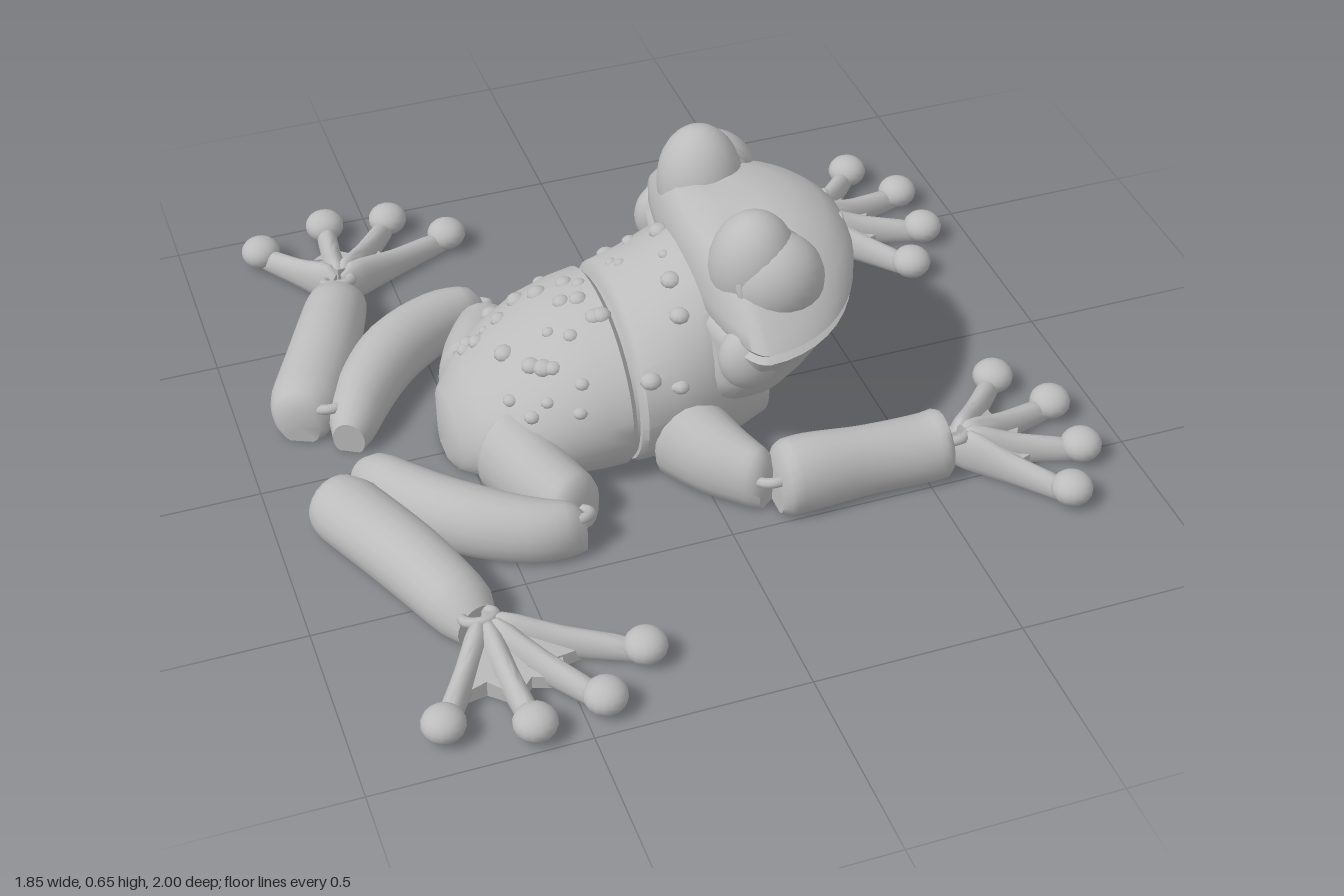
import * as THREE from 'three';
import { toCreasedNormals } from 'three/addons/utils/BufferGeometryUtils.js';

const skin = new THREE.MeshStandardMaterial({ color: 0xbcbcbc });
skin.name = 'stone grey skin';

const V = (x, y, z) => new THREE.Vector3(x, y, z);

function add(parent, name, geometry) {
  const mesh = new THREE.Mesh(geometry, skin);
  mesh.name = name;
  parent.add(mesh);
  return mesh;
}

// Closed skin over a list of equal-length rings, capped at both ends.
function loft(rings, crease = 0.8) {
  const n = rings[0].length, pts = rings.flat(), idx = [];
  for (let r = 0; r < rings.length - 1; r++) {
    for (let i = 0; i < n; i++) {
      const a = r * n + i, b = r * n + (i + 1) % n;
      idx.push(a, b, a + n, b, b + n, a + n);
    }
  }
  [[0, true], [rings.length - 1, false]].forEach(([r, first]) => {
    const mid = rings[r].reduce((s, p) => s.add(p), V(0, 0, 0)).divideScalar(n);
    const c = pts.push(mid) - 1;
    for (let i = 0; i < n; i++) {
      const a = r * n + i, b = r * n + (i + 1) % n;
      first ? idx.push(c, b, a) : idx.push(c, a, b);
    }
  });
  // Turn the faces outward if the enclosed volume comes out negative.
  let volume = 0;
  for (let i = 0; i < idx.length; i += 3) {
    volume += pts[idx[i]].dot(pts[idx[i + 1]].clone().cross(pts[idx[i + 2]]));
  }
  if (volume < 0) idx.reverse();
  const g = new THREE.BufferGeometry().setFromPoints(pts);
  g.setIndex(idx);
  return toCreasedNormals(g, crease);
}

// Arch-shaped ring standing on the ground: centre, sideways direction, half width, height.
function archRing(x, z, sx, sz, hw, h, n = 24) {
  return Array.from({ length: n }, (_, i) => {
    const t = (i / n) * Math.PI * 2, w = hw * Math.cos(t);
    return V(x + sx * w, Math.max(0, h * (0.42 + 0.58 * Math.sin(t))), z + sz * w);
  });
}

// Limb along a smooth path of [x, z, half width, height], with rounded ends.
function limb(points, steps = 18) {
  const path = new THREE.CatmullRomCurve3(points.map(p => V(p[0], 0, p[1])));
  const size = new THREE.CatmullRomCurve3(points.map(p => V(p[2], p[3], 0)));
  const rings = [];
  for (let i = 0; i <= steps; i++) {
    const t = i / steps, p = path.getPoint(t), d = path.getTangent(t), s = size.getPoint(t);
    const k = i === 0 || i === steps ? 0.72 : i === 1 || i === steps - 1 ? 0.95 : 1;
    rings.push(archRing(p.x, p.z, -d.z, d.x, s.x * k, s.y * k, 20));
  }
  return loft(rings);
}

function ball(parent, name, x, y, z, rx, ry, rz, detail = 24) {
  const m = add(parent, name, new THREE.SphereGeometry(1, detail, Math.ceil(detail * 0.66)));
  m.position.set(x, y, z);
  m.scale.set(rx, ry, rz);
  return m;
}

function link(parent, x, z, turn) {
  const m = add(parent, 'jointLink', new THREE.TorusGeometry(0.036, 0.013, 8, 20));
  m.position.set(x, 0.08, z);
  m.rotation.set(Math.PI / 2 - 0.4, 0, turn);
}

// Webbed foot: a sloping web plus ribbed toes with round pads.
function foot(parent, name, wx, wz, toes) {
  const g = new THREE.Group();
  g.name = name;
  parent.add(g);
  const at = (p, k) => [wx + (p[0] - wx) * k, wz + (p[1] - wz) * k];
  const outline = [[wx, wz]];
  toes.forEach((t, i) => {
    outline.push(at(t, 0.68));
    if (i < 3) outline.push(at([(t[0] + toes[i + 1][0]) / 2, (t[1] + toes[i + 1][1]) / 2], 0.56));
  });
  const rings = [0, 1].map(top => outline.map(([x, z]) => {
    const d = Math.hypot(x - wx, z - wz);
    return V(x, top ? Math.max(0.03, 0.105 - d * 0.42) : 0, z);
  }));
  add(g, 'web', loft(rings, 0.5));
  toes.forEach(t => {
    const [ax, az] = at(t, 0.02), [bx, bz] = at(t, 0.5);
    add(g, 'toe', limb([[ax, az, 0.032, 0.12], [bx, bz, 0.026, 0.075], [t[0], t[1], 0.026, 0.05]], 10));
    ball(g, 'toePad', t[0], 0.04, t[1], 0.05, 0.04, 0.05, 16);
  });
}

// Torso profile: [x, top, half width], split at the waist joint.
const rearBody = [[-0.55, 0.09, 0.05], [-0.535, 0.15, 0.12], [-0.48, 0.205, 0.19], [-0.4, 0.27, 0.24],
  [-0.3, 0.335, 0.268], [-0.22, 0.365, 0.278], [-0.16, 0.38, 0.278], [-0.147, 0.365, 0.265]];
const frontBody = [[-0.135, 0.37, 0.265], [-0.122, 0.39, 0.278], [-0.05, 0.42, 0.275], [0.03, 0.47, 0.27],
  [0.1, 0.49, 0.25], [0.16, 0.4, 0.22], [0.22, 0.24, 0.17]];

// Head layers: [y, back x, front x, half width]; the dip near 0.39 is the mouth.
const headLayers = [[0.13, -0.05, 0.2, 0.17], [0.155, -0.05, 0.26, 0.23], [0.2, -0.05, 0.325, 0.28],
  [0.25, -0.02, 0.375, 0.31], [0.3, 0.01, 0.41, 0.335], [0.35, 0.03, 0.437, 0.372], [0.378, 0.03, 0.45, 0.395],
  [0.39, 0.045, 0.436, 0.378], [0.402, 0.04, 0.456, 0.392], [0.43, 0.04, 0.46, 0.365], [0.47, 0.04, 0.445, 0.315],
  [0.51, 0.05, 0.4, 0.26], [0.54, 0.07, 0.33, 0.2], [0.555, 0.1, 0.24, 0.11]];

export function createModel() {
  const model = new THREE.Group();
  model.name = 'jointedFrog';
  const trunk = new THREE.Group();
  trunk.name = 'trunk';
  trunk.position.z = -0.013;
  model.add(trunk);

  const bodyRings = list => list.map(([x, top, hw]) => archRing(x, 0, 0, 1, hw, top, 40));
  add(trunk, 'rearBody', loft(bodyRings(rearBody)));
  add(trunk, 'frontBody', loft(bodyRings(frontBody)));
  add(trunk, 'waistHinge', loft([-0.17, -0.11].map(x => archRing(x, 0, 0, 1, 0.25, 0.355, 32))));

  // Head
  add(trunk, 'head', loft(headLayers.map(([y, back, front, hw]) =>
    Array.from({ length: 48 }, (_, i) => {
      const t = (i / 48) * Math.PI * 2, c = Math.cos(t);
      const f = Math.max(0, c);
      return V(0.13 + c * (c > 0 ? front - 0.13 : 0.13 - back), y - 0.0 + 0.022 * f * f * (y > 0.3 ? 1 : 0), hw * Math.sin(t));
    })), 1));

  // Eyes, ear drums and nostrils
  for (const s of [1, -1]) {
    const brow = ball(trunk, 'brow', 0.165, 0.505, s * 0.18, 0.105, 0.145, 0.105);
    brow.rotation.x = s * 0.12;
    ball(trunk, 'eye', 0.205, 0.485, s * 0.225, 0.115, 0.115, 0.1);
    const lid = add(trunk, 'eyelid', new THREE.TorusGeometry(0.1, 0.013, 8, 36));
    lid.position.set(0.2, 0.495, s * 0.225);
    lid.lookAt(0.5, 0.8, s * 1);
    ball(trunk, 'earDrum', 0.115, 0.34, s * 0.3, 0.075, 0.085, 0.06);
    const nostril = add(trunk, 'nostril', new THREE.TorusGeometry(0.011, 0.005, 6, 14));
    nostril.position.set(0.437, 0.485, s * 0.052);
    nostril.rotation.y = Math.PI / 2 - s * 0.15;
  }

  // Warts scattered over the back
  let seed = 7;
  const rand = () => (seed = (seed * 16807) % 2147483647) / 2147483647;
  for (let i = 0; i < 44; i++) {
    const x = -0.47 + 0.5 * ((i + rand()) / 44);
    if (Math.abs(x + 0.14) < 0.03) continue;
    const list = x < -0.14 ? rearBody : frontBody;
    const k = list.findIndex(p => p[0] > x), a = list[k - 1], b = list[k];
    const u = (x - a[0]) / (b[0] - a[0]);
    const top = a[1] + (b[1] - a[1]) * u, hw = a[2] + (b[2] - a[2]) * u;
    const t = Math.PI / 2 + (rand() - 0.5) * 2.5, r = 0.014 + rand() * 0.013;
    ball(trunk, 'wart', x, top * (0.42 + 0.58 * Math.sin(t)) - 0.006, hw * Math.cos(t) * 0.98, r, r * 0.75, r, 10);
  }

  // Front legs: the two sides are posed slightly apart
  for (const [s, z] of [[1, 0.43], [-1, 0.51]]) {
    const leg = new THREE.Group();
    leg.name = s > 0 ? 'leftFrontLeg' : 'rightFrontLeg';
    model.add(leg);
    add(leg, 'upperArm', limb([[-0.03, s * 0.2, 0.1, 0.22], [0.03, s * (z - 0.12), 0.085, 0.18], [0.115, s * (z - 0.005), 0.05, 0.14]]));
    link(leg, 0.125, s * z, 0);
    add(leg, 'forearm', limb([[0.13, s * z, 0.083, 0.165], [0.2, s * z, 0.085, 0.172], [0.36, s * z, 0.074, 0.158],
      [0.5, s * z, 0.08, 0.15], [0.565, s * z, 0.078, 0.165]]));
    link(leg, 0.575, s * z, 0);
    foot(leg, 'frontFoot', 0.59, s * z,
      [[0.79, -0.22], [0.88, -0.085], [0.88, 0.085], [0.79, 0.22]].map(([x, d]) => [x, s * z + d]));
  }

  // Hind legs, folded in a zigzag
  for (const [s, o] of [[1, 0], [-1, 0.03]]) {
    const leg = new THREE.Group();
    leg.name = s > 0 ? 'leftHindLeg' : 'rightHindLeg';
    model.add(leg);
    add(leg, 'hip', limb([[-0.44, s * 0.12, 0.09, 0.21], [-0.39, s * 0.25, 0.085, 0.18], [-0.325, s * 0.375, 0.075, 0.14]]));
    link(leg, -0.35, s * (0.4 + o), 0.5);
    add(leg, 'thigh', limb([[-0.33, s * (0.42 + o), 0.045, 0.125], [-0.44, s * (0.4 + o), 0.07, 0.14],
      [-0.58, s * (0.315 + o), 0.08, 0.15], [-0.68, s * (0.2 + o), 0.075, 0.14], [-0.765, s * (0.05 + o), 0.055, 0.115]]));
    link(leg, -0.785, s * (0.14 + o), 0.4);
    add(leg, 'shin', limb([[-0.865, s * (0.125 + o), 0.065, 0.125], [-0.83, s * (0.2 + o), 0.088, 0.14],
      [-0.74, s * (0.4 + o / 2), 0.086, 0.145], [-0.65, s * 0.63, 0.075, 0.125]]));
    link(leg, -0.65, s * 0.645, 0.4);
    foot(leg, 'hindFoot', -0.645, s * 0.66, [[-0.8, s * 0.89], [-0.615, s * 0.95], [-0.45, s * 0.925], [-0.32, s * 0.81]]);
  }
  return model;
}
